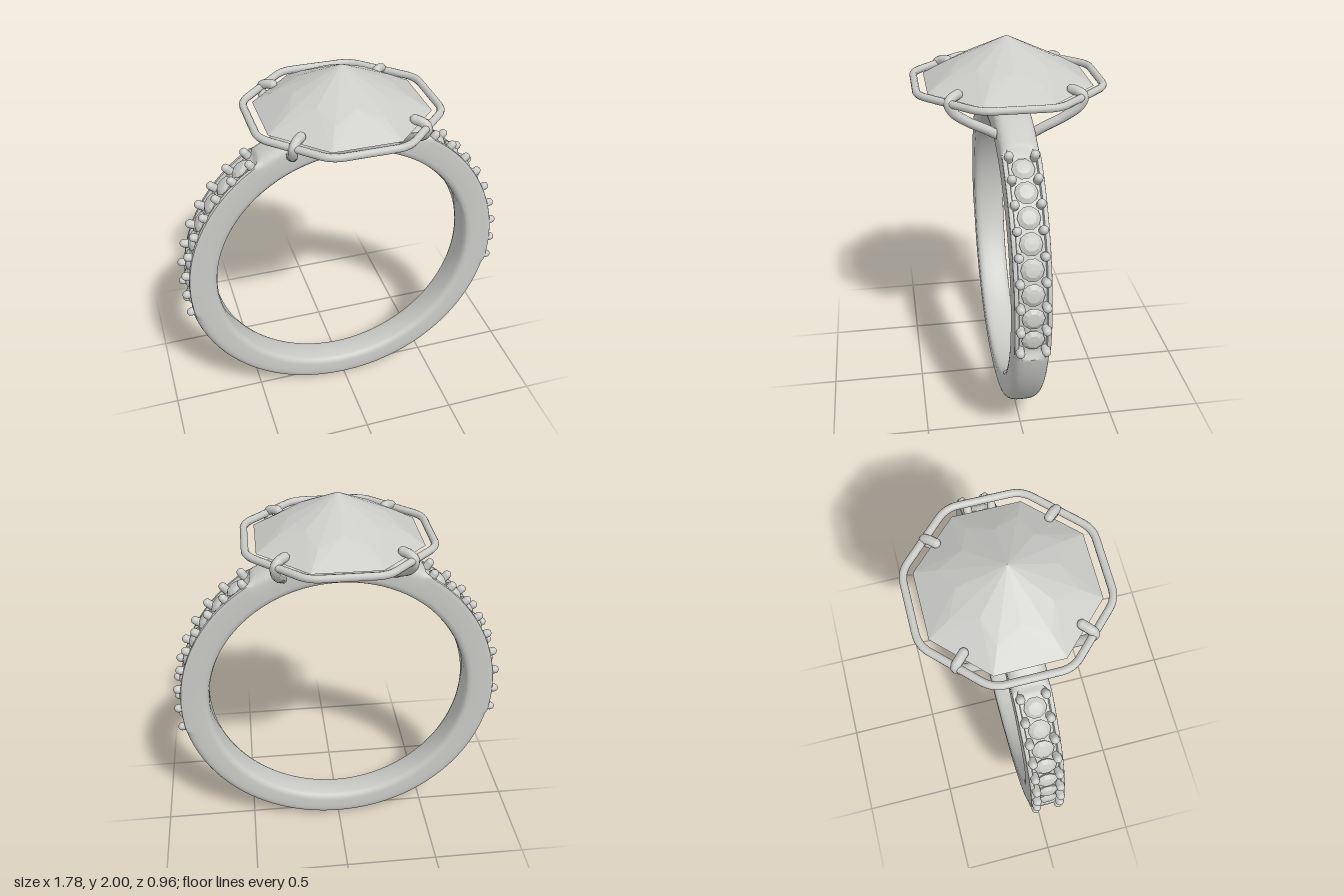
import * as THREE from 'three';
import { toCreasedNormals } from 'three/addons/utils/BufferGeometryUtils.js';

const CY = 0.845; // height of the band's centre
const rad = THREE.MathUtils.degToRad;
const lerp = THREE.MathUtils.lerp;

// Half cross-section of the band at one angle, as [z, radius] from inside to outside
function bandSection(t) {
  const e = THREE.MathUtils.radToDeg(Math.asin(Math.sin(t)));
  const step = THREE.MathUtils.smoothstep;
  const channel = step(e, -12.5, -10) * (1 - step(e, 57, 59.5));
  const up = (e + 90) / 180;
  const w = lerp(0.083, 0.096, up);
  const R = lerp(0.845, 0.865, step(e, -90, 0));
  const cut = [[1, 0.8], [1, 0.825], [1, 0.843], [0.98, 0.85], [0.95, 0.852],
    [0.77, 0.852], [0.72, 0.836], [0.4, 0.836], [0, 0.836]];
  const half = [[0, 0.7], [0.6 * w, 0.701], [0.85 * w, 0.707], [0.96 * w, 0.717], [w, 0.735]];
  cut.forEach(([cz, cr], i) => {
    const p = (i / 8) * Math.PI / 2;
    const z = i === 8 ? 0 : Math.pow(Math.cos(p), 0.65);
    const r = R - 0.06 + 0.06 * Math.pow(Math.sin(p), 0.75);
    half.push([w * lerp(z, cz, channel), lerp(r, cr, channel)]);
  });
  return half;
}

function bandGeometry() {
  const pos = [], idx = [], N = 288;
  let M = 0;
  for (let i = 0; i < N; i++) {
    const t = (i / N) * Math.PI * 2;
    const half = bandSection(t);
    const loop = half.concat(half.slice(1, -1).reverse().map(([z, r]) => [-z, r]));
    M = loop.length;
    for (const [z, r] of loop) pos.push(r * Math.cos(t), CY + r * Math.sin(t), z);
  }
  for (let i = 0; i < N; i++) {
    for (let j = 0; j < M; j++) {
      const i2 = (i + 1) % N, j2 = (j + 1) % M;
      const a = i * M + j, b = i2 * M + j, c = i2 * M + j2, d = i * M + j2;
      idx.push(a, d, b, b, d, c);
    }
  }
  const g = new THREE.BufferGeometry();
  g.setAttribute('position', new THREE.Float32BufferAttribute(pos, 3));
  g.setIndex(idx);
  return toCreasedNormals(g, 0.65);
}

// Eight-sided faceted stone: apex, star of crown facets, girdle and flat base
function gemGeometry() {
  const at = (deg, r, y) => [r * Math.cos(rad(deg)), y, -r * Math.sin(rad(deg))];
  const apex = [0, 2, 0], base = [0, 1.775, 0], pos = [];
  const tri = (...p) => p.forEach((v) => pos.push(...v));
  for (let k = 0; k < 8; k++) {
    const a = 22.5 + 45 * k;
    const c1 = at(a, 0.325, 1.842), c2 = at(a + 45, 0.325, 1.842);
    const g1 = at(a, 0.442, 1.775), g2 = at(a + 45, 0.442, 1.775);
    const m = at(a + 22.5, 0.24, 1.885);
    tri(apex, c1, m);
    tri(apex, m, c2);
    tri(c1, g1, m);
    tri(m, g1, g2);
    tri(m, g2, c2);
    tri(base, g2, g1);
  }
  const g = new THREE.BufferGeometry();
  g.setAttribute('position', new THREE.Float32BufferAttribute(pos, 3));
  g.computeVertexNormals();
  return g;
}

// Octagon wire path with rounded corners
function haloPath() {
  const path = new THREE.CurvePath(), pts = [];
  for (const [x, z] of [[0.46, 0.185], [0.185, 0.46], [-0.185, 0.46], [-0.46, 0.185],
    [-0.46, -0.185], [-0.185, -0.46], [0.185, -0.46], [0.46, -0.185]]) {
    pts.push(new THREE.Vector3(x, 1.776, z));
  }
  const toward = (a, b) => a.clone().add(b.clone().sub(a).setLength(0.06));
  pts.forEach((p, i) => {
    const prev = pts[(i + 7) % 8], next = pts[(i + 1) % 8];
    path.add(new THREE.QuadraticBezierCurve3(toward(p, prev), p, toward(p, next)));
    path.add(new THREE.LineCurve3(toward(p, next), toward(next, p)));
  });
  return path;
}

export function createModel() {
  const model = new THREE.Group();
  const silver = new THREE.MeshStandardMaterial({ color: 0xcacac7 });
  silver.name = 'silver grey';
  const add = (parent, name, geo) => {
    const m = new THREE.Mesh(geo, silver);
    m.name = name;
    parent.add(m);
    return m;
  };

  add(model, 'band', bandGeometry());
  add(model, 'centreStone', gemGeometry());
  add(model, 'haloWire', new THREE.TubeGeometry(haloPath(), 192, 0.019, 10, true));

  // Four claws rising from the band, around the wire and over the stone
  for (const sx of [1, -1]) {
    for (const sz of [1, -1]) {
      const claw = new THREE.Group();
      claw.name = 'claw';
      const pts = [[0.283, 1.585, 0.075], [0.295, 1.625, 0.14], [0.31, 1.675, 0.23],
        [0.325, 1.735, 0.305], [0.325, 1.778, 0.322], [0.305, 1.797, 0.3], [0.278, 1.802, 0.273]]
        .map(([x, y, z]) => new THREE.Vector3(x * sx, y, z * sz));
      add(claw, 'clawWire', new THREE.TubeGeometry(new THREE.CatmullRomCurve3(pts), 40, 0.024, 10));
      for (const p of [pts[0], pts[6]]) {
        add(claw, 'clawEnd', new THREE.SphereGeometry(0.024, 12, 8)).position.copy(p);
      }
      model.add(claw);
    }
  }

  // Small stones and holding beads along both shoulders
  const bead = new THREE.CapsuleGeometry(0.022, 0.03, 5, 12);
  const stone = new THREE.LatheGeometry([[0, 0.83], [0.05, 0.836], [0.056, 0.846], [0.034, 0.861], [0, 0.864]]
    .map(([x, y]) => new THREE.Vector2(x, y)), 10);
  const facetedStone = toCreasedNormals(stone, 0.1);
  for (const side of [1, -1]) {
    const shoulder = new THREE.Group();
    shoulder.name = side > 0 ? 'leftShoulder' : 'rightShoulder';
    for (let i = 0; i < 9; i++) {
      const place = (deg) => {
        const spoke = new THREE.Group();
        spoke.position.y = CY;
        spoke.rotation.z = side * rad(deg - 90);
        shoulder.add(spoke);
        return spoke;
      };
      const beads = place(-8.9 + 8.1 * i);
      for (const sz of [1, -1]) add(beads, 'bead', bead).position.set(0, 0.854, sz * 0.062);
      if (i < 8) add(place(-4.85 + 8.1 * i), 'smallStone', facetedStone);
    }
    model.add(shoulder);
  }
  return model;
}
